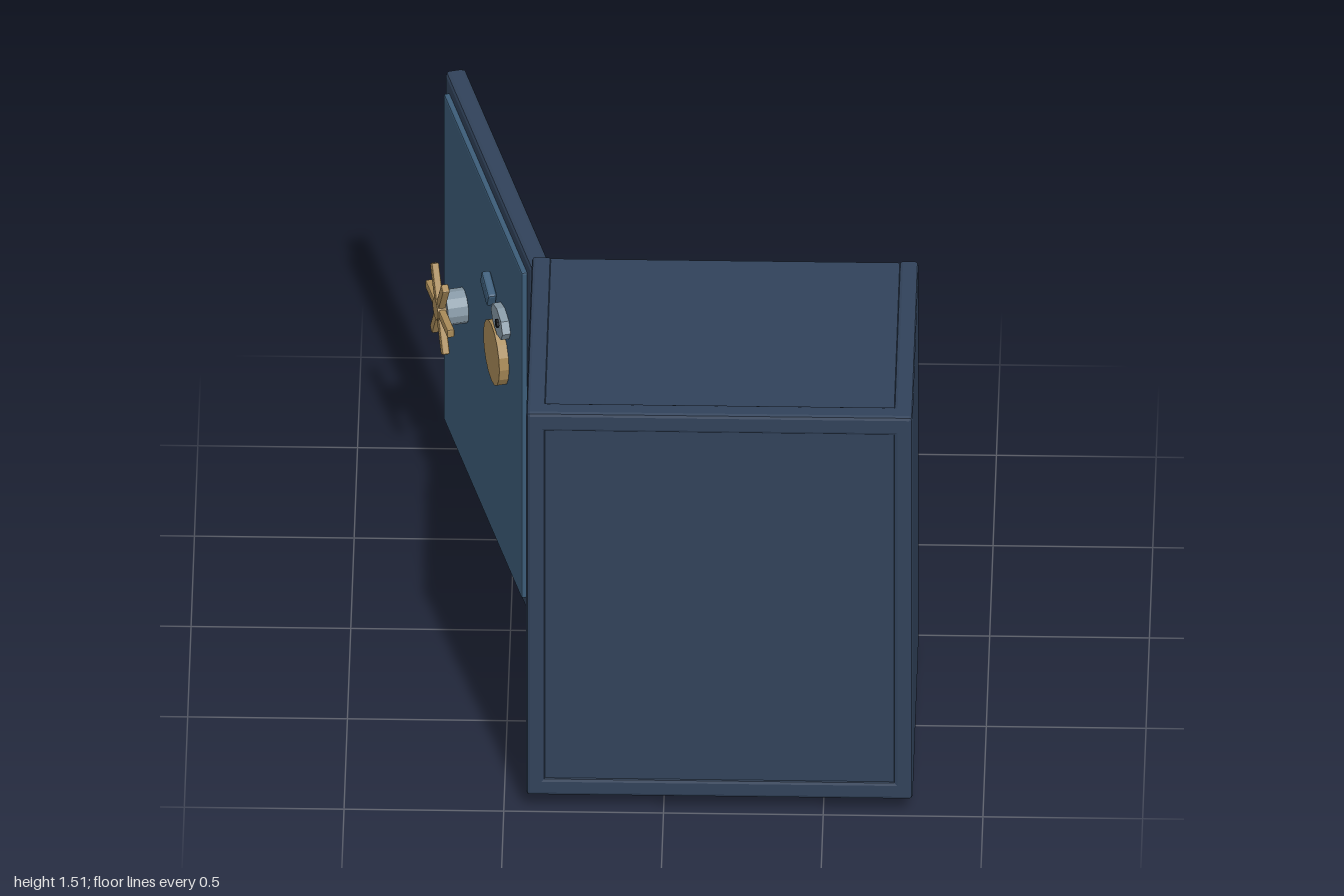
import * as THREE from 'three';
import { RoundedBoxGeometry } from 'three/addons/geometries/RoundedBoxGeometry.js';

const paint = (color) => new THREE.MeshStandardMaterial({ color, flatShading: true });
const NAVY = paint(0x31425a), BLUE = paint(0x3c5c78), DARK = paint(0x26323d);
const FLOOR = paint(0x2a383d), BRASS = paint(0xa88a58), STEEL = paint(0x8799a6), BLACK = paint(0x15181c);

function add(parent, name, geometry, material) {
  const mesh = new THREE.Mesh(geometry, material);
  mesh.name = name;
  parent.add(mesh);
  return mesh;
}

// Chamfered box given by its lower and upper limits on each axis
function slab(parent, name, [x0, x1], [y0, y1], [z0, z1], material, bevel = 0.01) {
  const size = [x1 - x0, y1 - y0, z1 - z0];
  const geo = bevel > 0 ? new RoundedBoxGeometry(...size, 1, bevel) : new THREE.BoxGeometry(...size);
  geo.translate((x0 + x1) / 2, (y0 + y1) / 2, (z0 + z1) / 2);
  return add(parent, name, geo, material);
}

// Cylinder lying along z between two depths
function disc(parent, name, r, x, y, [z0, z1], sides, material) {
  const geo = new THREE.CylinderGeometry(r, r, Math.abs(z1 - z0), sides);
  geo.rotateX(Math.PI / 2);
  const mesh = add(parent, name, geo, material);
  mesh.position.set(x, y, (z0 + z1) / 2);
  return mesh;
}

function makeCabinet() {
  const g = new THREE.Group();
  g.name = 'cabinet';
  const X = [-0.43, 0.78], Z = [0.125, 1];
  const inX = [-0.375, 0.725];

  // Side walls, and rails closing the far end
  slab(g, 'rightWall', [X[0], -0.37], [0.06, 1.51], Z, NAVY, 0.012);
  slab(g, 'leftWall', [0.72, X[1]], [0.06, 1.51], Z, NAVY, 0.012);
  slab(g, 'upperRail', X, [1.44, 1.51], [0.935, 1], NAVY, 0.012);
  slab(g, 'lowerRail', X, [0.06, 0.125], [0.935, 1], NAVY, 0.012);

  // Slightly recessed panels between the walls
  slab(g, 'topPanel', inX, [1.44, 1.5], [0.127, 0.95], NAVY, 0);
  slab(g, 'bottomPanel', inX, [0.07, 0.125], [0.127, 0.95], NAVY, 0);
  slab(g, 'endPanel', inX, [0.12, 1.445], [0.92, 0.992], NAVY, 0);
  slab(g, 'interiorFloor', [-0.37, 0.72], [0.125, 0.155], [0.18, 0.92], FLOOR, 0);

  // Feet
  for (const x of [-0.265, 0.61])
    for (const z of [0.305, 0.825])
      slab(g, 'foot', [x - 0.064, x + 0.064], [0, 0.075], [z - 0.067, z + 0.067], DARK, 0.012);

  // Corner studs in the door opening
  for (const x of [-0.31, 0.655])
    for (const y of [0.15, 1.41])
      disc(g, 'cornerStud', 0.016, x, y, [0.108, 0.16], 8, STEEL);

  // Hinge pin and knuckles
  const pin = add(g, 'hingePin', new THREE.CylinderGeometry(0.008, 0.008, 1.3, 8), DARK);
  pin.position.set(-0.402, 0.78, 0.116);
  for (const y of [0.24, 1.32]) {
    const knuckle = add(g, 'hingeKnuckle', new THREE.CylinderGeometry(0.02, 0.02, 0.125, 10), STEEL);
    knuckle.position.set(-0.402, y, 0.118);
  }
  return g;
}

// Door in its closed pose: hinge edge at x = 0, outer face towards -z
function makeDoor() {
  const g = new THREE.Group();
  g.name = 'door';
  slab(g, 'doorSlab', [0, 1.13], [0.11, 1.45], [-0.066, 0], NAVY, 0.014);
  slab(g, 'doorPanel', [0.05, 1.075], [0.165, 1.4], [-0.084, -0.06], BLUE, 0.006);

  // Spoked handle
  const handle = new THREE.Group();
  handle.name = 'handle';
  handle.position.set(0.8, 0.78, 0);
  g.add(handle);
  disc(handle, 'handleHub', 0.057, 0, 0, [-0.15, -0.08], 12, STEEL);
  disc(handle, 'handleCap', 0.036, 0, 0, [-0.178, -0.145], 10, BRASS);
  for (let i = 0; i < 3; i++) {
    const bar = add(handle, 'handleSpoke', new RoundedBoxGeometry(0.29, 0.03, 0.024, 1, 0.005), BRASS);
    bar.position.z = -0.163;
    bar.rotation.z = (i * Math.PI) / 3;
  }

  // Dial
  disc(g, 'dial', 0.106, 0.32, 0.925, [-0.115, -0.082], 16, BRASS);

  // Keyhole plate with its cover swung aside
  const plate = disc(g, 'keyholePlate', 0.048, 0.27, 1.075, [-0.11, -0.082], 8, STEEL);
  plate.scale.x = 1.6;
  disc(g, 'keyhole', 0.014, 0.25, 1.082, [-0.118, -0.1], 8, BLACK);
  const cover = add(g, 'keyholeCover', new RoundedBoxGeometry(0.1, 0.055, 0.03, 1, 0.008), BLUE);
  cover.position.set(0.42, 1.1, -0.1);
  cover.rotation.z = 0.4;
  return g;
}

export function createModel() {
  const model = new THREE.Group();
  model.name = 'safe';
  model.add(makeCabinet());
  const door = makeDoor();
  door.position.set(-0.37, 0, 0.092);
  door.rotation.y = THREE.MathUtils.degToRad(105);
  model.add(door);
  return model;
}
